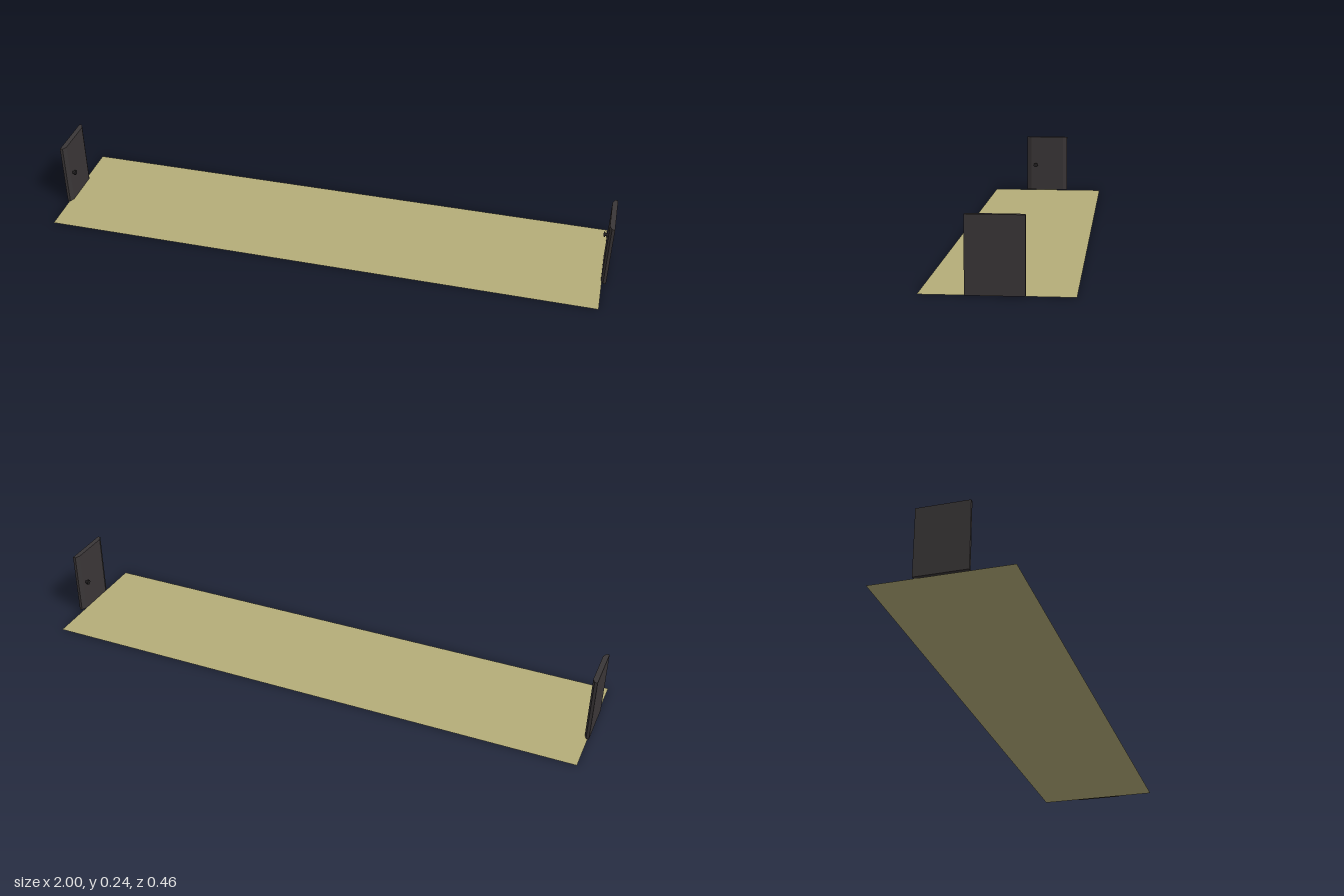
import * as THREE from 'three';

const floorMat = new THREE.MeshStandardMaterial({ color: 0xb5ad79, side: THREE.DoubleSide });
const doorMat = new THREE.MeshStandardMaterial({ color: 0x3a3637 });
const knobMat = new THREE.MeshStandardMaterial({ color: 0x222021 });

// Door at the +x end: flat outside, sides chamfered towards the inside
function makeDoor(name) {
  const door = new THREE.Group();
  door.name = name;

  const s = new THREE.Shape();
  [[1, 0.087], [0.99, 0.087], [0.982, 0.07], [0.982, -0.07], [0.99, -0.087], [1, -0.087]]
    .forEach(([x, z], i) => (i ? s.lineTo(x, -z) : s.moveTo(x, -z)));
  const geo = new THREE.ExtrudeGeometry(s, { depth: 0.233, bevelEnabled: false });
  geo.rotateX(-Math.PI / 2).translate(0, 0.003, 0);
  const panel = new THREE.Mesh(geo, doorMat);
  panel.name = 'doorPanel';
  door.add(panel);

  // Knob on a short stem, on the inner face
  [['knobStem', 0.005, 0.01, 0.979], ['knob', 0.009, 0.006, 0.972]].forEach(([part, r, len, x]) => {
    const m = new THREE.Mesh(new THREE.CylinderGeometry(r, r, len, 16), knobMat);
    m.name = part;
    m.rotation.z = Math.PI / 2;
    m.position.set(x, 0.112, -0.05);
    door.add(m);
  });
  return door;
}

export function createModel() {
  const model = new THREE.Group();
  model.name = 'hallway';

  // Thin floor sheet
  const floor = new THREE.Mesh(new THREE.PlaneGeometry(1.98, 0.456), floorMat);
  floor.name = 'floor';
  floor.rotation.x = -Math.PI / 2;
  floor.position.set(-0.005, 0, -0.003);
  model.add(floor);

  // The two doors face each other, one turned half round
  const leftDoor = makeDoor('leftDoor');
  const rightDoor = makeDoor('rightDoor');
  rightDoor.rotation.y = Math.PI;
  model.add(leftDoor, rightDoor);
  return model;
}
